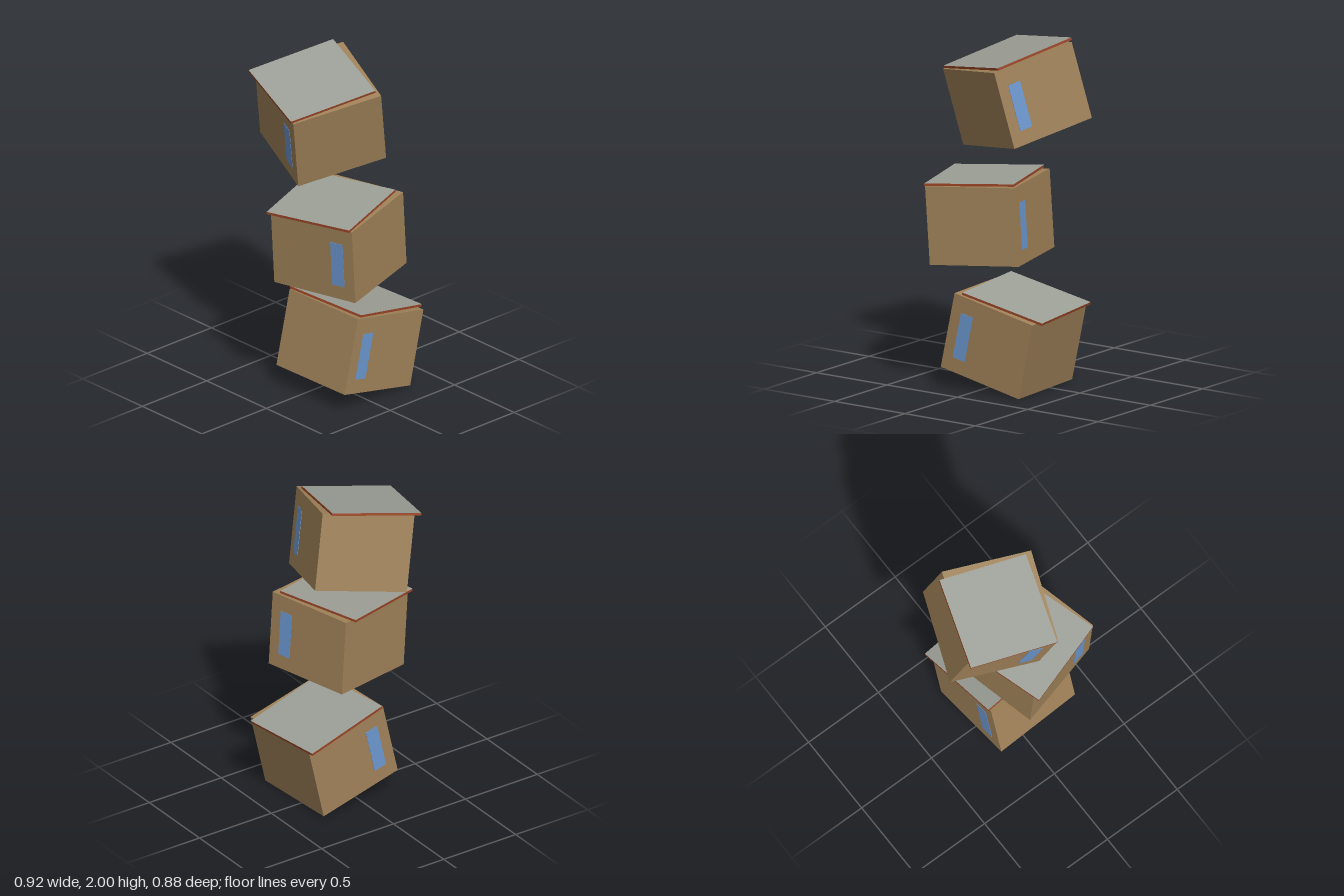
import * as THREE from 'three';

const SIZE = 0.547, HEIGHT = 0.458;

const flat = (name, color) => {
  const m = new THREE.MeshStandardMaterial({ color });
  m.name = name;
  return m;
};

function addBox(parent, name, size, pos, material) {
  const mesh = new THREE.Mesh(new THREE.BoxGeometry(...size), material);
  mesh.name = name;
  mesh.position.set(...pos);
  parent.add(mesh);
  return mesh;
}

// One cabin: walls, a slightly skewed roof sheet and a tall window on each side
function makeCabin(mats) {
  const cabin = new THREE.Group();
  addBox(cabin, 'walls', [SIZE, HEIGHT, SIZE], [0, HEIGHT / 2, 0], mats.wall);

  // Roof sheet: grey on top, rust on the edges and underside
  const { roof, rust } = mats;
  const sheet = addBox(cabin, 'roof', [0.54, 0.015, 0.54], [-0.028, HEIGHT + 0.0065, -0.022],
    [rust, rust, roof, rust, rust, rust]);
  sheet.rotation.y = 0.055;

  for (const side of [-1, 1]) {
    addBox(cabin, side > 0 ? 'leftWindow' : 'rightWindow', [0.004, 0.275, 0.083],
      [side * SIZE / 2, 0.2225, SIZE / 2 - 0.109], mats.glass);
  }
  return cabin;
}

export function createModel() {
  const model = new THREE.Group();
  model.name = 'stackedCabins';
  const mats = {
    wall: flat('tan wall', 0xa08259),
    roof: flat('grey roof', 0x9da097),
    rust: flat('rust edge', 0x9a4526),
    glass: flat('blue glass', 0x6c98d0),
  };

  // Base centre, sideways axis and forward axis of each tilted cabin
  const stack = [
    ['lowerCabin', [0.0725, 0.067, -0.0315], [0.55, -0.009, -0.025], [0.03, 0.121, 0.54]],
    ['middleCabin', [0.1205, 0.753, 0.035], [-0.14, 0.037, -0.53], [0.529, 0.005, -0.14]],
    ['upperCabin', [-0.111, 1.451, -0.045], [0.19, 0.083, -0.503], [0.508, -0.109, 0.169]],
  ];
  for (const [name, base, side, forward] of stack) {
    const cabin = makeCabin(mats);
    cabin.name = name;
    const x = new THREE.Vector3(...side).normalize();
    const y = new THREE.Vector3(...forward).cross(x).normalize();
    const z = new THREE.Vector3().crossVectors(x, y);
    cabin.quaternion.setFromRotationMatrix(new THREE.Matrix4().makeBasis(x, y, z));
    cabin.position.set(...base);
    model.add(cabin);
  }
  return model;
}
